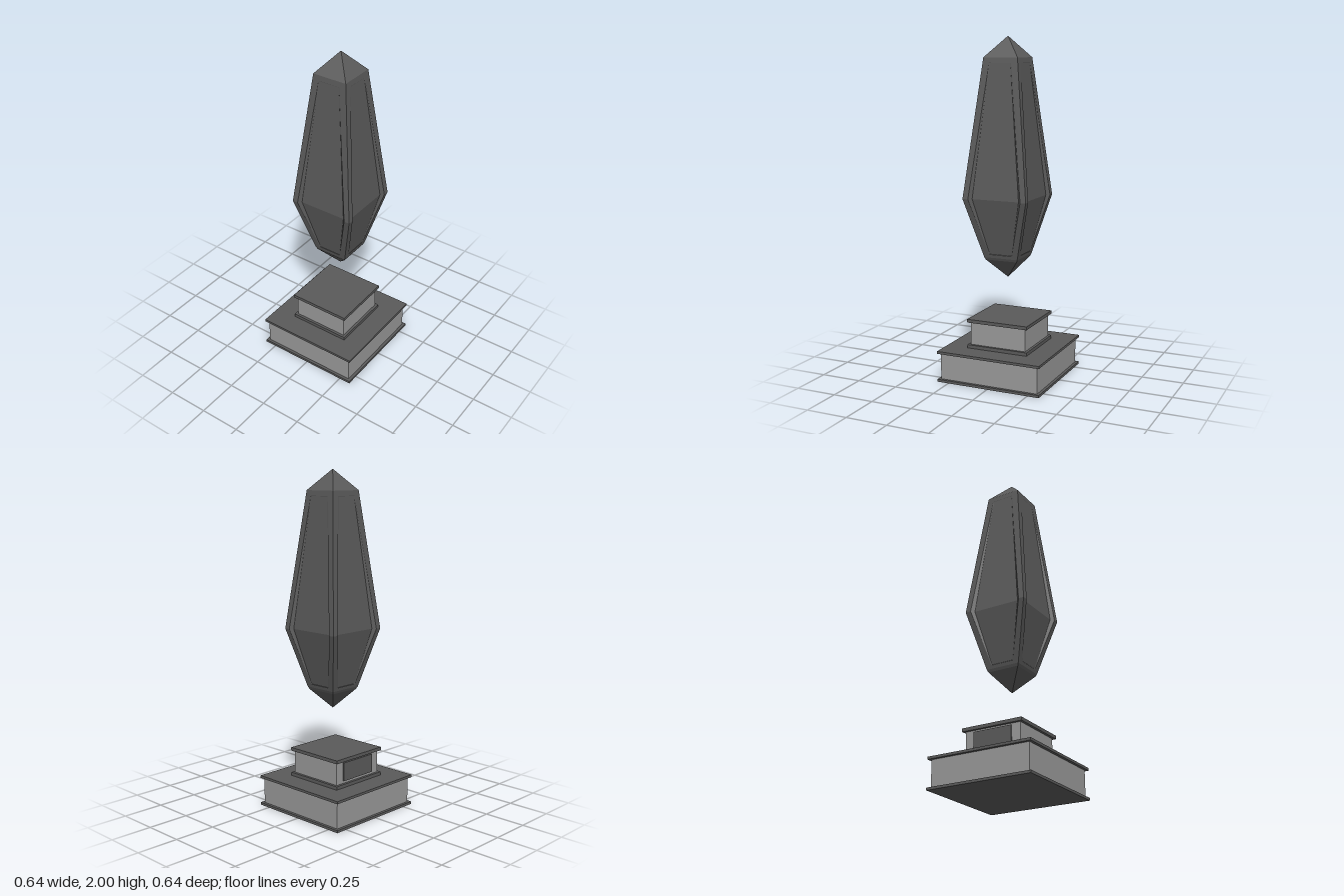
import * as THREE from 'three';

const dark = new THREE.MeshStandardMaterial({ color: 0x5a5a5a });
dark.name = 'dark stone';
const light = new THREE.MeshStandardMaterial({ color: 0x999999 });
light.name = 'light stone';

function box(name, w, h, d, y, material, z = 0) {
  const mesh = new THREE.Mesh(new THREE.BoxGeometry(w, h, d), material);
  mesh.name = name;
  mesh.position.set(0, y + h / 2, z);
  return mesh;
}

// Two trims with a block between them.
function tier(name, half, inset, levels) {
  const group = new THREE.Group();
  group.name = name;
  const [y0, y1, y2, y3] = levels;
  const w = half * 2, b = w - inset * 2;
  group.add(
    box(name + 'LowerTrim', w, y1 - y0, w, y0, dark),
    box(name + 'Block', b, y2 - y1, b, y1, light),
    box(name + 'UpperTrim', w, y3 - y2, w, y2, dark)
  );
  return group;
}

// Hexagon, counter-clockwise, from [halfWidth, y, z] at its top, middle and bottom.
function hexagon([t, m, b]) {
  return [[t, 1], [t, -1], [m, -1], [b, -1], [b, 1], [m, 1]].map(([p, s]) => [p[0] * s, p[1], p[2]]);
}

// One of the four crystal sides: frame, bevel, recessed panel and the two points.
function crystalSideGeometry() {
  const outer = hexagon([[0.105, 1.88, 0.105], [0.197, 1.08, 0.197], [0.105, 0.73, 0.105]]);
  const opening = hexagon([[0.067, 1.85, 0.1085], [0.163, 1.08, 0.197], [0.072, 0.75, 0.11]]);
  const panel = hexagon([[0.064, 1.848, 0.108], [0.145, 1.08, 0.178], [0.068, 0.752, 0.109]]);
  const pos = [];
  const face = (...p) => {
    for (let i = 1; i < p.length - 1; i++) pos.push(...p[0], ...p[i], ...p[i + 1]);
  };
  for (const [a, b] of [[outer, opening], [opening, panel]]) {
    for (let i = 0; i < 6; i++) {
      const j = (i + 1) % 6;
      face(a[i], a[j], b[j], b[i]);
    }
  }
  // Recessed panel, folded at the widest level
  face(panel[0], panel[1], panel[2], panel[5]);
  face(panel[5], panel[2], panel[3], panel[4]);
  // Upper point, lower shoulder and lower point
  const left = [-0.098, 0.715, 0.098], right = [0.098, 0.715, 0.098];
  face(outer[1], outer[0], [0, 2, 0]);
  face(outer[4], outer[3], left, right);
  face(right, left, [0, 0.6, 0]);

  const geometry = new THREE.BufferGeometry();
  geometry.setAttribute('position', new THREE.Float32BufferAttribute(pos, 3));
  geometry.computeVertexNormals();
  return geometry;
}

export function createModel() {
  const model = new THREE.Group();
  model.name = 'floatingCrystalOnPedestal';

  // Stepped pedestal
  model.add(tier('base', 0.322, 0.017, [0, 0.015, 0.17, 0.185]));
  model.add(tier('plinth', 0.19, 0.016, [0.185, 0.205, 0.34, 0.36]));
  model.add(box('backPlaque', 0.24, 0.11, 0.008, 0.22, dark, -0.178));

  // Floating crystal
  const crystal = new THREE.Group();
  crystal.name = 'crystal';
  crystal.position.z = 0.027;
  const side = crystalSideGeometry();
  for (let i = 0; i < 4; i++) {
    const mesh = new THREE.Mesh(side, dark);
    mesh.name = 'crystalSide' + (i + 1);
    mesh.rotation.y = (i * Math.PI) / 2;
    crystal.add(mesh);
  }
  model.add(crystal);
  return model;
}
